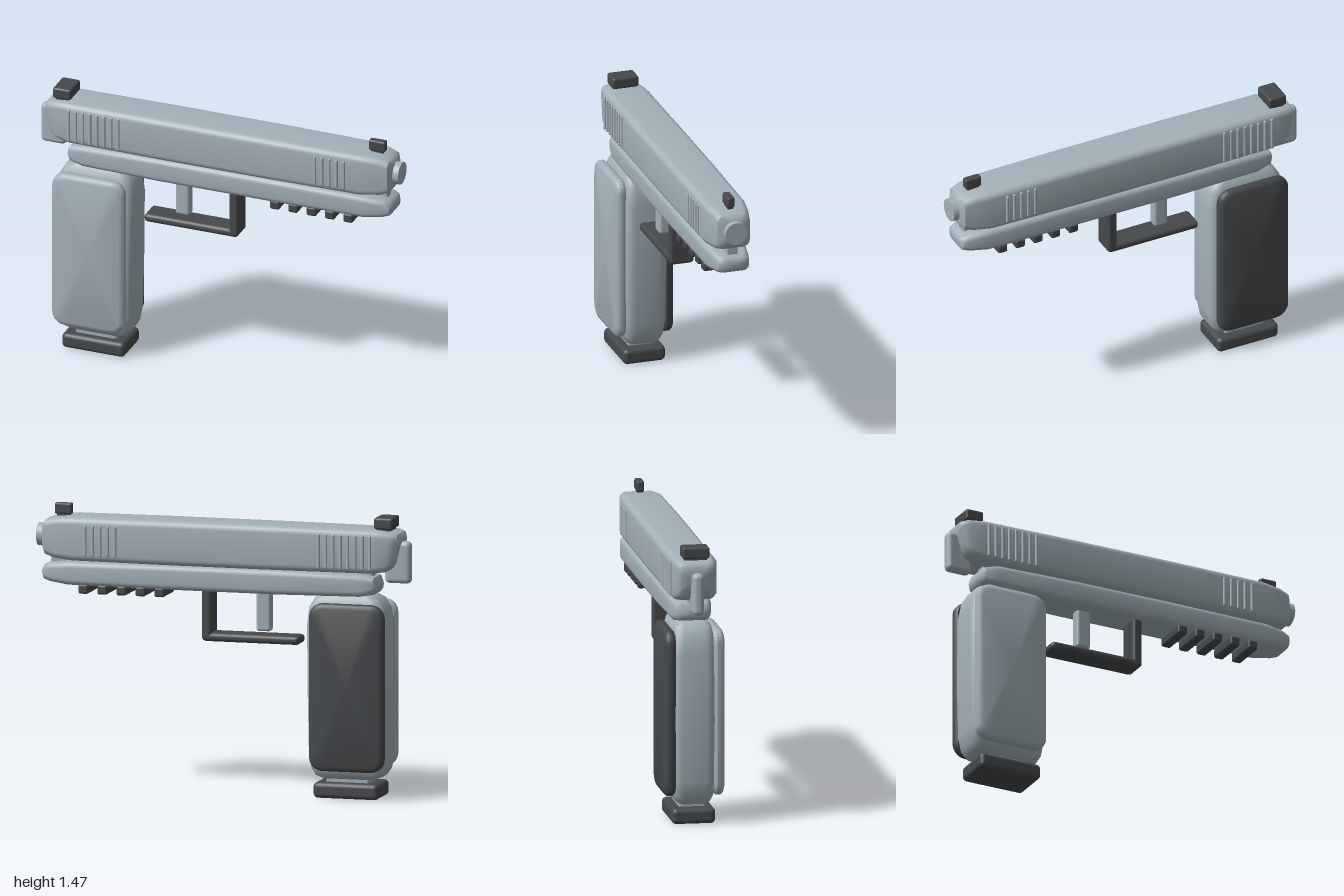
import * as THREE from 'three';
import { toCreasedNormals } from 'three/addons/utils/BufferGeometryUtils.js';
import { RoundedBoxGeometry } from 'three/addons/geometries/RoundedBoxGeometry.js';

const light = new THREE.MeshStandardMaterial({ color: 0xa3b1b9 });
light.name = 'light steel';
const dark = new THREE.MeshStandardMaterial({ color: 0x46494c });
dark.name = 'dark polymer';

// Loft of rounded rectangles along an axis (0 = x, 1 = y, 2 = z).
// Section: [position, a0, a1, b0, b1, corner radius], a and b being the next two axes in cyclic order.
function loft(axis, sections, warp = () => {}) {
  const steps = 5, n = 4 * (steps + 1), pos = [], index = [];
  const push = (t, a, b) => {
    const p = [0, 0, 0];
    p[axis] = t;
    p[(axis + 1) % 3] = a;
    p[(axis + 2) % 3] = b;
    warp(p);
    pos.push(...p);
  };
  for (const [t, a0, a1, b0, b1, r] of sections) {
    const corners = [[a1 - r, b1 - r], [a0 + r, b1 - r], [a0 + r, b0 + r], [a1 - r, b0 + r]];
    corners.forEach(([a, b], c) => {
      for (let i = 0; i <= steps; i++) {
        const ang = (c + i / steps) * Math.PI / 2;
        push(t, a + r * Math.cos(ang), b + r * Math.sin(ang));
      }
    });
  }
  const last = sections.length - 1;
  for (const s of [0, last]) {
    const [t, a0, a1, b0, b1] = sections[s];
    push(t, (a0 + a1) / 2, (b0 + b1) / 2);
  }
  for (let j = 0; j < n; j++) {
    const k = (j + 1) % n;
    for (let s = 0; s < last; s++) {
      const p = s * n, q = p + n;
      index.push(p + j, p + k, q + k, p + j, q + k, q + j);
    }
    index.push((last + 1) * n, k, j, (last + 1) * n + 1, last * n + j, last * n + k);
  }
  const geo = new THREE.BufferGeometry();
  geo.setAttribute('position', new THREE.Float32BufferAttribute(pos, 3));
  geo.setIndex(index);
  return toCreasedNormals(geo, 0.75);
}

export function createModel() {
  const model = new THREE.Group();
  model.name = 'pistol';

  const add = (name, geometry, material) => {
    const mesh = new THREE.Mesh(geometry, material);
    mesh.name = name;
    model.add(mesh);
    return mesh;
  };
  // Rounded box given by its extents
  const box = (name, x0, x1, y0, y1, z0, z1, r, material) => {
    const mesh = add(name, new RoundedBoxGeometry(x1 - x0, y1 - y0, z1 - z0, 3, r), material);
    mesh.position.set((x0 + x1) / 2, (y0 + y1) / 2, (z0 + z1) / 2);
  };

  // Slide, with a rear end that leans back toward the top
  add('slide', loft(0, [
    [-0.96, 1.235, 1.365, -0.075, 0.075, 0.03],
    [-0.945, 1.205, 1.39, -0.092, 0.092, 0.035],
    [-0.91, 1.19, 1.4, -0.105, 0.105, 0.035],
    [-0.82, 1.18, 1.408, -0.114, 0.114, 0.035],
    [-0.3, 1.178, 1.41, -0.118, 0.118, 0.035],
    [0.3, 1.178, 1.41, -0.118, 0.118, 0.035],
    [0.8, 1.18, 1.408, -0.113, 0.113, 0.035],
    [0.9, 1.19, 1.4, -0.098, 0.098, 0.035],
    [0.95, 1.205, 1.385, -0.088, 0.088, 0.035],
    [0.968, 1.235, 1.355, -0.06, 0.06, 0.03],
  ], (p) => {
    const weight = Math.max(0, (-0.8 - p[0]) / 0.16);
    p[0] += Math.max(0, 1.37 - p[1]) * 0.25 * weight;
  }), light);

  // Frame below the slide
  add('frame', loft(0, [
    [-0.83, 1.085, 1.13, -0.07, 0.07, 0.02],
    [-0.815, 1.068, 1.155, -0.09, 0.09, 0.03],
    [-0.74, 1.056, 1.172, -0.105, 0.105, 0.03],
    [-0.3, 1.05, 1.178, -0.11, 0.11, 0.03],
    [0.3, 1.05, 1.178, -0.11, 0.11, 0.03],
    [0.82, 1.053, 1.174, -0.108, 0.108, 0.03],
    [0.92, 1.065, 1.163, -0.092, 0.092, 0.03],
    [0.955, 1.075, 1.15, -0.082, 0.082, 0.03],
    [0.966, 1.09, 1.135, -0.06, 0.06, 0.02],
  ]), light);
  box('slideRail', -0.8, 0.93, 1.14, 1.21, -0.03, 0.03, 0.01, light);

  // Muzzle
  const muzzle = add('muzzle', new THREE.CylinderGeometry(0.06, 0.06, 0.2, 32), light);
  muzzle.rotation.z = -Math.PI / 2;
  muzzle.position.set(0.9, 1.3, 0);

  box('hammer', -1, -0.86, 1.125, 1.345, -0.03, 0.03, 0.025, light);
  box('rearSight', -0.915, -0.815, 1.41, 1.47, -0.071, 0.071, 0.012, dark);
  box('sightBaseRear', -0.9, -0.83, 1.385, 1.425, -0.06, 0.06, 0.005, dark);
  box('frontSight', 0.82, 0.912, 1.41, 1.468, -0.02, 0.02, 0.01, dark);
  box('sightBaseFront', 0.83, 0.9, 1.385, 1.425, -0.015, 0.015, 0.005, dark);

  // Raised grip ribs on both sides of the slide
  for (const side of [-1, 1]) {
    const z0 = side > 0 ? 0.1 : -0.124, z1 = side > 0 ? 0.124 : -0.1;
    for (let i = 0; i < 8; i++) {
      const x = -0.807 + i * 0.0393;
      box('rearRib', x - 0.008, x + 0.008, 1.2, 1.383, z0, z1, 0.007, light);
    }
    for (let i = 0; i < 5; i++) {
      const x = 0.56 + i * 0.04;
      box('frontRib', x - 0.008, x + 0.008, 1.21, 1.373, z0, z1, 0.007, light);
    }
  }

  // Grip
  add('grip', loft(1, [
    [0.1, -0.07, 0.07, -0.82, -0.53, 0.04],
    [0.115, -0.088, 0.088, -0.855, -0.5, 0.045],
    [0.15, -0.102, 0.102, -0.878, -0.48, 0.05],
    [0.23, -0.112, 0.112, -0.89, -0.468, 0.05],
    [0.55, -0.115, 0.115, -0.896, -0.462, 0.05],
    [0.9, -0.112, 0.112, -0.892, -0.458, 0.05],
    [0.99, -0.105, 0.105, -0.875, -0.468, 0.05],
    [1.04, -0.095, 0.095, -0.845, -0.495, 0.045],
    [1.065, -0.075, 0.075, -0.8, -0.54, 0.04],
  ]), light);

  // Side panels: light on the front side, dark on the back
  const panel = loft(2, [
    [0.1, -0.875, -0.5, 0.16, 1.01, 0.06],
    [0.115, -0.889, -0.488, 0.148, 1.022, 0.07],
    [0.138, -0.889, -0.488, 0.148, 1.022, 0.07],
    [0.15, -0.88, -0.497, 0.156, 1.013, 0.065],
    [0.157, -0.862, -0.515, 0.175, 0.995, 0.055],
  ]);
  add('leftGripPanel', panel, light);
  const back = panel.clone();
  back.rotateY(Math.PI);
  back.translate(-1.377, 0, 0);
  add('rightGripPanel', back, dark);

  // Magazine and its base
  box('magazineNeck', -0.79, -0.56, 0.06, 0.14, -0.07, 0.07, 0.015, light);
  box('magazineBase', -0.85, -0.5, 0, 0.083, -0.114, 0.114, 0.025, dark);

  // Trigger and guard
  box('trigger', -0.25, -0.172, 0.845, 1.08, -0.03, 0.03, 0.015, light);
  box('guardBottom', -0.412, 0.108, 0.785, 0.83, -0.064, 0.064, 0.02, dark);
  box('guardFront', 0.06, 0.11, 0.79, 1.07, -0.064, 0.064, 0.015, dark);

  // Accessory rail bars
  for (let i = 0; i < 5; i++) {
    const x = 0.328 + i * 0.102;
    box('railBar', x - 0.027, x + 0.027, 1.01, 1.06, -0.1, 0.1, 0.012, dark);
  }

  return model;
}
